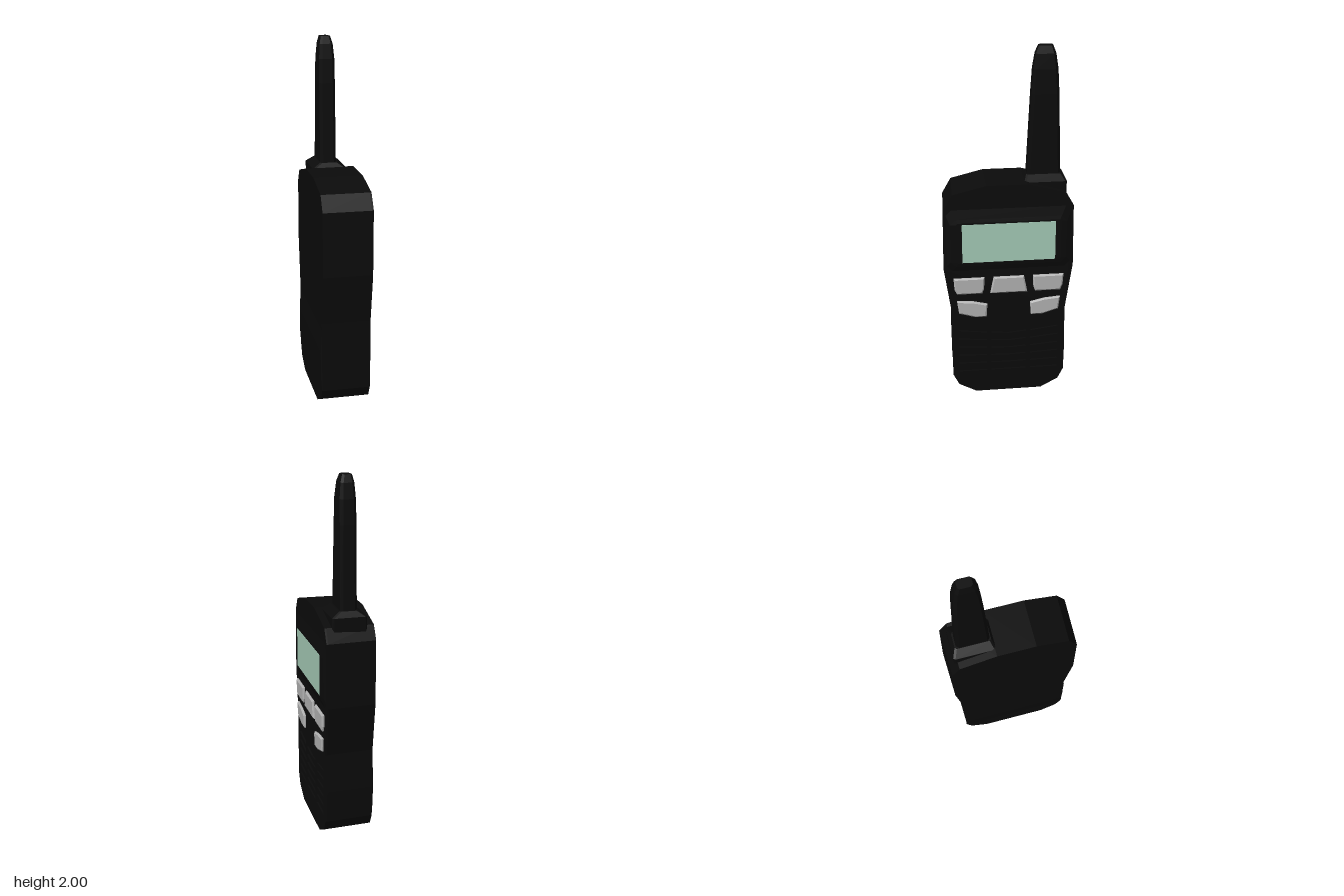
import * as THREE from 'three';

// Parts are laid out with the keypad facing local +z, then turned to face +x.
export function createModel() {
  const mat = (name, color) => {
    const m = new THREE.MeshStandardMaterial({ color, flatShading: true });
    m.name = name;
    return m;
  };
  const black = mat('black casing', 0x0b0b0b);
  const grey = mat('grey buttons', 0xb4b4b4);
  const green = mat('pale green display', 0xa6ccb8);

  const model = new THREE.Group();
  model.name = 'handheldRadio';
  const radio = new THREE.Group();
  radio.name = 'radio';
  radio.rotation.y = Math.PI / 2;
  model.add(radio);

  const add = (name, geometry, material) => {
    const mesh = new THREE.Mesh(geometry, material);
    mesh.name = name;
    radio.add(mesh);
    return mesh;
  };
  const shapeOf = pts => new THREE.Shape(pts.map(p => new THREE.Vector2(...p)));
  const mirror = pts => pts.map(([x, y]) => [-x, y]).reverse();

  // Loft through chamfered rectangles: [x0, x1, y0, y1, z, chamfer], z ascending
  const loft = sections => {
    const rings = sections.map(([a, b, c, d, z, k]) => [
      [a + k, c], [b - k, c], [b, c + k], [b, d - k],
      [b - k, d], [a + k, d], [a, d - k], [a, c + k],
    ].map(([x, y]) => [x, y, z]));
    const pos = [];
    const tri = (...pts) => pts.forEach(p => pos.push(...p));
    for (let i = 0; i < rings.length - 1; i++) {
      for (let j = 0; j < 8; j++) {
        const n = (j + 1) % 8, lo = rings[i], hi = rings[i + 1];
        tri(lo[j], lo[n], hi[n], lo[j], hi[n], hi[j]);
      }
    }
    const first = rings[0], last = rings[rings.length - 1];
    for (let j = 1; j < 7; j++) {
      tri(first[0], first[j + 1], first[j]);
      tri(last[0], last[j], last[j + 1]);
    }
    const g = new THREE.BufferGeometry();
    g.setAttribute('position', new THREE.Float32BufferAttribute(pos, 3));
    g.computeVertexNormals();
    return g;
  };

  // Casing outline, waisted below the display
  const outline = [
    [-0.19, 0], [0.19, 0], [0.29, 0.055], [0.322, 0.12], [0.325, 0.3], [0.32, 0.52],
    [0.36, 0.8], [0.355, 1.155], [0.31, 1.23], [0.1, 1.285], [-0.12, 1.285],
    [-0.305, 1.24], [-0.355, 1.155], [-0.36, 0.8], [-0.32, 0.52],
    [-0.325, 0.3], [-0.322, 0.12], [-0.29, 0.055],
  ];
  const back = new THREE.ExtrudeGeometry(shapeOf(outline), { depth: 0.26, bevelEnabled: false });
  back.translate(0, 0, -0.14);
  // Narrow the casing slightly towards the back
  const p = back.attributes.position;
  for (let i = 0; i < p.count; i++) if (p.getZ(i) < 0) p.setX(i, p.getX(i) * 0.975);
  back.computeVertexNormals();
  add('casing', back, black);

  // Front plate with three columns of speaker slots
  const plate = shapeOf(outline);
  for (let row = 0; row < 6; row++) {
    const y = 0.14 + row * 0.05, tilt = 0.004 * row;
    const side = [[0.125, y], [0.285, y + tilt], [0.285, y + tilt + 0.026], [0.125, y + 0.026]];
    const middle = [[-0.1, y], [0, y - tilt / 2], [0.1, y], [0.1, y + 0.026], [0, y + 0.026 - tilt / 2], [-0.1, y + 0.026]];
    for (const slot of [side, mirror(side), middle]) plate.holes.push(shapeOf(slot));
  }
  const front = new THREE.ExtrudeGeometry(plate, { depth: 0.01, bevelEnabled: false });
  front.translate(0, 0, 0.12);
  add('frontPlate', front, black);

  // Rear grip swell
  add('rearGrip', loft([
    [-0.31, 0.31, 0.2, 0.36, -0.146, 0.01],
    [-0.316, 0.316, 0.1, 0.5, -0.139, 0.02],
  ]), black);

  // Raised display surround and display
  add('displaySurround', loft([
    [-0.345, 0.345, 0.79, 1.16, 0.129, 0.03],
    [-0.32, 0.32, 0.82, 1.1, 0.139, 0.03],
    [-0.29, 0.29, 0.84, 1.08, 0.143, 0.01],
  ]), black);
  const display = new THREE.BoxGeometry(0.514, 0.226, 0.004);
  display.translate(0, 0.958, 0.1432);
  add('display', display, green);

  // Five bevelled buttons
  const upper = [[0.152, 0.652], [0.288, 0.652], [0.3, 0.68], [0.304, 0.742], [0.14, 0.742], [0.143, 0.675]];
  const lower = [[0.13, 0.503], [0.19, 0.503], [0.278, 0.53], [0.288, 0.602], [0.2, 0.594], [0.125, 0.576]];
  const centre = [[-0.1, 0.65], [0.1, 0.65], [0.082, 0.742], [-0.082, 0.742]];
  const button = (name, pts) => {
    const g = new THREE.ExtrudeGeometry(shapeOf(pts), {
      depth: 0.012, bevelThickness: 0.006, bevelSize: 0.008, bevelOffset: -0.004, bevelSegments: 1,
    });
    g.translate(0, 0, 0.125);
    add(name, g, grey);
  };
  button('centreButton', centre);
  button('upperRightButton', upper);
  button('upperLeftButton', mirror(upper));
  button('lowerRightButton', lower);
  button('lowerLeftButton', mirror(lower));

  // Antenna and its collar, lofted along z and stood upright
  const upright = g => g.rotateX(-Math.PI / 2);
  add('antennaCollar', upright(loft([
    [0.09, 0.322, -0.09, 0.1, 1.16, 0.01],
    [0.09, 0.322, -0.09, 0.1, 1.28, 0.01],
    [0.105, 0.302, -0.045, 0.055, 1.31, 0.01],
  ])), black);
  add('antenna', upright(loft([
    [0.11, 0.295, -0.037, 0.053, 1.29, 0.015],
    [0.132, 0.28, -0.036, 0.052, 1.75, 0.015],
    [0.14, 0.272, -0.035, 0.05, 1.88, 0.015],
    [0.153, 0.26, -0.028, 0.044, 1.96, 0.013],
    [0.17, 0.245, -0.016, 0.035, 2, 0.01],
  ])), black);

  return model;
}
